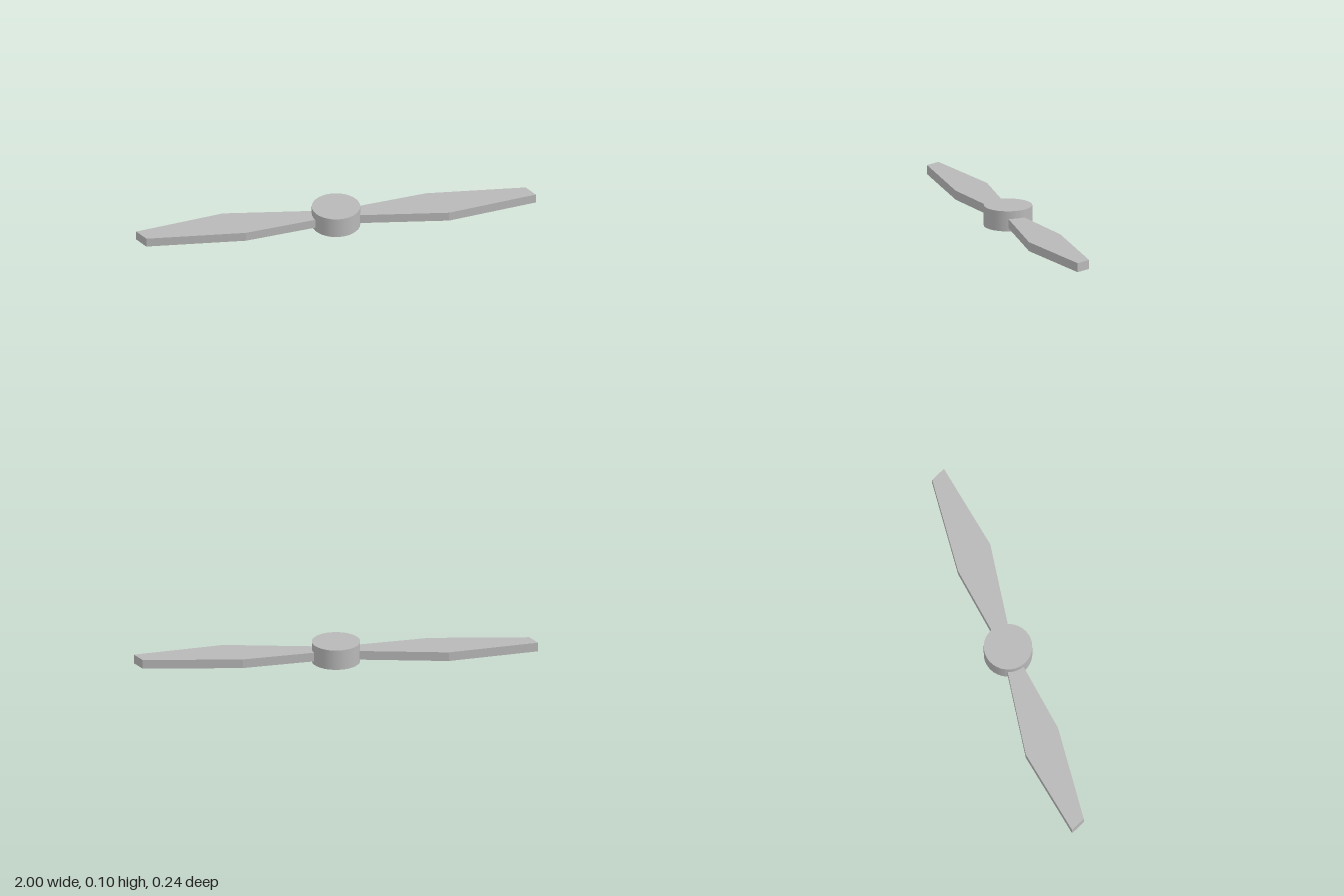
import * as THREE from 'three';

export function createModel() {
  const group = new THREE.Group();
  const grey = new THREE.MeshStandardMaterial({ color: 0xb8b8b8 });
  grey.name = 'grey';

  // Round central hub
  const hub = new THREE.Mesh(new THREE.CylinderGeometry(0.12, 0.12, 0.103, 32), grey);
  hub.name = 'hub';
  hub.position.y = 0.0515;
  group.add(hub);

  // Flat blade outline as [x, z], its root buried in the hub
  const outline = [
    [0.03, -0.03], [0.47, -0.098], [0.963, -0.062],
    [1.0, 0.012], [0.55, 0.098], [0.03, 0.03],
  ];
  const shape = new THREE.Shape(outline.map(([x, z]) => new THREE.Vector2(x, -z)));
  const bladeGeometry = new THREE.ExtrudeGeometry(shape, { depth: 0.046, bevelEnabled: false });
  bladeGeometry.rotateX(-Math.PI / 2);
  bladeGeometry.translate(0, 0.018, 0);

  // Two blades, half a turn apart
  ['leftBlade', 'rightBlade'].forEach((name, i) => {
    const blade = new THREE.Mesh(bladeGeometry, grey);
    blade.name = name;
    blade.rotation.y = i * Math.PI;
    group.add(blade);
  });

  return group;
}
